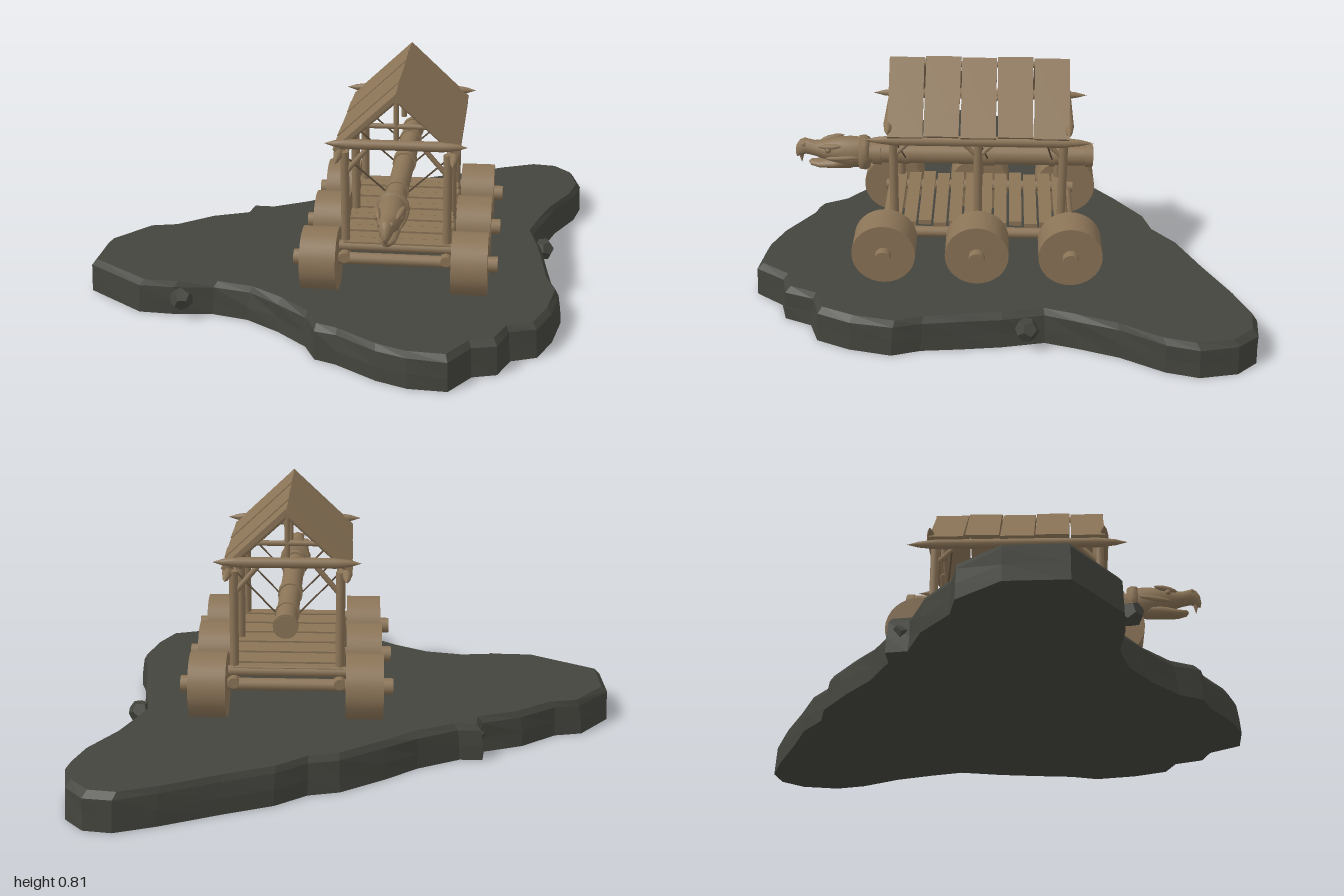
import * as THREE from 'three';

const wood = new THREE.MeshStandardMaterial({ color: 0x8b7457 });
wood.name = 'weathered wood';
const rope = new THREE.MeshStandardMaterial({ color: 0x5c4c39 });
rope.name = 'dark rope';
const rock = new THREE.MeshStandardMaterial({ color: 0x43443d });
rock.name = 'dark rock';

const V = (x, y, z) => new THREE.Vector3(x, y, z);
const UP = V(0, 1, 0);

function add(parent, name, geometry, material = wood) {
  const m = new THREE.Mesh(geometry, material);
  m.name = name;
  parent.add(m);
  return m;
}

function align(mesh, a, b) {
  mesh.position.copy(a).add(b).multiplyScalar(0.5);
  mesh.quaternion.setFromUnitVectors(UP, b.clone().sub(a).normalize());
  return mesh;
}

// Round pole between two points
function rod(parent, name, a, b, r, material = wood, sides = 12) {
  return align(add(parent, name, new THREE.CylinderGeometry(r, r, a.distanceTo(b), sides), material), a, b);
}

// Pole sharpened at both ends
function stake(parent, name, a, b, r, taper) {
  const h = a.distanceTo(b) / 2;
  const pts = [[0, -h], [r * 0.6, -h + taper * 0.4], [r, -h + taper], [r, h - taper], [r * 0.6, h - taper * 0.4], [0, h]]
    .map(p => new THREE.Vector2(...p));
  return align(add(parent, name, new THREE.LatheGeometry(pts, 10)), a, b);
}

// Skin over elliptical sections [z, centreY, halfWidth, halfHeight]
function loft(sections, n = 14) {
  const pos = [], idx = [];
  for (const [z, cy, w, h] of sections)
    for (let i = 0; i < n; i++) {
      const t = (i / n) * Math.PI * 2;
      pos.push(w * Math.cos(t), cy + h * Math.sin(t), z);
    }
  for (let k = 0; k < sections.length - 1; k++)
    for (let i = 0; i < n; i++) {
      const j = (i + 1) % n, a = k * n + i, b = k * n + j;
      idx.push(a, b, a + n, b, b + n, a + n);
    }
  const g = new THREE.BufferGeometry();
  g.setAttribute('position', new THREE.Float32BufferAttribute(pos, 3));
  g.setIndex(idx);
  g.computeVertexNormals();
  return g;
}

// Rocky ground slab
const OUTLINE = [
  -1, -.46, -.905, -.615, -.745, -.675, -.655, -.647, -.505, -.668, -.366, -.647, -.324, -.7, -.26, -.663,
  -.104, -.658, .03, -.68, .2, -.695, .297, -.668, .42, -.684, .59, -.663, .78, -.647, .91, -.625, .98, -.57,
  1, -.48, .96, -.36, .885, -.283, .75, -.2, .644, -.107, .565, -.03, .52, .107, .468, .23, .414, .348,
  .393, .444, .297, .55, .2, .62, .11, .604, .03, .663, -.05, .642, -.158, .69, -.265, .62, -.334, .535,
  -.41, .39, -.46, .33, -.457, .24, -.505, .107, -.57, -.016, -.666, -.107, -.79, -.165, -.89, -.23];

function buildRock() {
  const g = new THREE.Group();
  g.name = 'rockBase';
  let seed = 7;
  const rnd = () => (seed = (seed * 16807) % 2147483647) / 2147483647;
  const pts = [];
  for (let i = 0; i < OUTLINE.length; i += 2) pts.push([OUTLINE[i], OUTLINE[i + 1]]);
  const ring = (y, inset, jitter) => pts.map(([x, z]) => {
    const d = Math.hypot(x, z + 0.2), k = 1 - (inset + jitter * rnd()) / d;
    return [x * k, y, (z + 0.2) * k - 0.2];
  });
  const rings = [ring(0, 0, 0), ring(0.05, 0, 0.008), ring(0.1, 0.004, 0.01), ring(0.12, 0.026, 0)];
  const pos = [];
  for (let k = 0; k < rings.length - 1; k++)
    pts.forEach((_, i) => {
      const j = (i + 1) % pts.length, lo = rings[k], hi = rings[k + 1];
      pos.push(...lo[i], ...hi[i], ...hi[j], ...lo[i], ...hi[j], ...lo[j]);
    });
  const walls = new THREE.BufferGeometry();
  walls.setAttribute('position', new THREE.Float32BufferAttribute(pos, 3));
  walls.computeVertexNormals();
  add(g, 'rockSides', walls, rock);
  const cap = (r, s) => new THREE.ShapeGeometry(
    new THREE.Shape(r.map(p => new THREE.Vector2(p[0], s * p[2])))).rotateX(s * Math.PI / 2);
  add(g, 'rockTop', cap(rings[3], -1), rock).position.y = 0.12;
  add(g, 'rockUnderside', cap(rings[0], 1), rock);
  // Broken chips on the rim
  for (const [x, z, s] of [[-.765, -.13, .04], [.56, .035, .04], [-.325, -.65, .035]]) {
    const chip = add(g, 'rockChip', new THREE.DodecahedronGeometry(s), rock);
    chip.position.set(x, 0.07, z);
    chip.rotation.set(x, z * 5, s);
  }
  return g;
}

function buildWheels(cart) {
  for (const z of [-0.31, 0, 0.31]) {
    rod(cart, 'axle', V(-0.25, 0.23, z), V(0.25, 0.23, z), 0.02);
    for (const s of [-1, 1]) {
      rod(cart, 'wheel', V(s * 0.19, 0.228, z), V(s * 0.31, 0.228, z), 0.106, wood, 32);
      rod(cart, 'wheelHub', V(s * 0.3, 0.228, z), V(s * 0.342, 0.228, z), 0.027, wood, 14);
    }
  }
}

function buildFrame(cart) {
  // Deck and its bearers
  for (let i = 0; i < 12; i++) {
    const p = add(cart, 'deckPlank', new THREE.BoxGeometry(0.36, 0.016, 0.043));
    p.position.set((i % 3 - 1) * 0.004, 0.275 + (i % 2) * 0.003, (i - 5.5) * 0.051);
  }
  for (const z of [-0.29, 0.29]) rod(cart, 'deckCrossBeam', V(-0.19, 0.268, z), V(0.19, 0.268, z), 0.018);
  for (const s of [-1, 1]) {
    const x = s * 0.17;
    rod(cart, 'deckSideBeam', V(x, 0.24, -0.335), V(x, 0.24, 0.335), 0.018);
    stake(cart, 'eaveBeam', V(s * 0.19, 0.592, -0.375), V(s * 0.19, 0.592, 0.375), 0.017, 0.1);
    // Posts with their diagonal braces
    for (const z of [-0.28, 0, 0.28]) {
      rod(cart, 'post', V(x, 0.22, z), V(x, 0.6, z), 0.0145);
      for (const d of [-1, 1]) {
        if (z * d > 0) continue;
        rod(cart, 'sideBrace', V(x, 0.525, z), V(x, 0.59, z + d * 0.065), 0.008, wood, 8);
      }
      if (z) rod(cart, 'crossBrace', V(x, 0.525, z), V(x - s * 0.08, 0.62, z), 0.009, wood, 8);
    }
  }
}

function buildRoof(cart) {
  const w = 0.208, low = 0.612, high = 0.808, slope = Math.atan2(high - low, w);
  for (const z of [-0.295, 0.295]) stake(cart, 'tieBeam', V(-0.235, 0.633, z), V(0.235, 0.633, z), 0.017, 0.08);
  for (const z of [-0.27, 0, 0.27]) {
    for (const s of [-1, 1]) rod(cart, 'rafter', V(s * 0.19, 0.61, z), V(0, 0.785, z), 0.011, wood, 8);
    rod(cart, 'kingPost', V(0, 0.63, z), V(0, 0.785, z), 0.009, wood, 8);
    rod(cart, 'collarTie', V(-0.1, 0.69, z), V(0.1, 0.69, z), 0.009, wood, 8);
  }
  rod(cart, 'ridgePole', V(0, 0.785, -0.29), V(0, 0.785, 0.29), 0.011, wood, 8);
  for (const s of [-1, 1])
    for (let i = 0; i < 5; i++) {
      const p = add(cart, 'roofPlank', new THREE.BoxGeometry(Math.hypot(w, high - low), 0.012, 0.115));
      p.position.set(s * (w / 2 - 0.004), (low + high) / 2 - 0.004 + (i % 2) * 0.004, (i - 2) * 0.12);
      p.rotation.set(0, ((i * 2) % 3 - 1) * 0.012, -s * slope);
    }
}

function buildRam(cart) {
  const y = 0.452;
  rod(cart, 'ramLog', V(0, y, -0.39), V(0, y, 0.42), 0.036, wood, 20);
  for (const [z, len, r] of [[-0.375, 0.025, 0.04], [-0.25, 0.02, 0.04], [-0.03, 0.05, 0.041], [0.25, 0.02, 0.04], [0.35, 0.03, 0.042]])
    rod(cart, 'ramBand', V(0, y, z - len / 2), V(0, y, z + len / 2), r, wood, 20);
  // Slings from the eaves
  for (const z of [-0.25, -0.03, 0.25])
    for (const s of [-1, 1])
      rod(cart, 'sling', V(s * 0.036, y, z), V(s * 0.18, 0.595, z + 0.03), 0.003, rope, 6);
  // Carved beast head with collar, hooked muzzle and open jaw
  const head = new THREE.Group();
  head.name = 'ramHead';
  cart.add(head);
  add(head, 'collar', loft([[.375, y, 0, 0], [.375, y, .05, .054], [.39, y, .056, .063], [.41, y, .054, .06], [.415, y, 0, 0]]));
  add(head, 'skull', loft([[.4, .453, .046, .054], [.44, .453, .05, .057], [.49, .46, .046, .046], [.53, .461, .037, .034],
    [.565, .466, .029, .027], [.595, .473, .026, .028], [.615, .467, .02, .03], [.628, .455, .011, .022], [.632, .45, 0, 0]]));
  add(head, 'lowerJaw', loft([[.43, .425, 0, 0], [.44, .425, .036, .03], [.5, .414, .033, .02], [.55, .409, .026, .014], [.58, .412, .015, .01], [.588, .414, 0, 0]]));
  const fang = add(head, 'hookedBeak', new THREE.ConeGeometry(0.013, 0.045, 8));
  fang.position.set(0, 0.432, 0.612);
  fang.rotation.x = Math.PI;
  for (const s of [-1, 1]) {
    const eye = add(head, 'eye', new THREE.SphereGeometry(0.011, 10, 8));
    eye.position.set(s * 0.037, 0.475, 0.515);
    stake(head, 'brow', V(s * 0.046, 0.495, 0.465), V(s * 0.028, 0.482, 0.55), 0.01, 0.03);
    stake(head, 'cheekRidge', V(s * 0.05, 0.455, 0.41), V(s * 0.036, 0.442, 0.53), 0.009, 0.04);
    const nostril = add(head, 'nostril', new THREE.SphereGeometry(0.009, 8, 6));
    nostril.position.set(s * 0.017, 0.487, 0.6);
  }
}

export function createModel() {
  const model = new THREE.Group();
  model.name = 'coveredRamOnRock';
  model.add(buildRock());
  const cart = new THREE.Group();
  cart.name = 'ramCart';
  cart.position.set(0.0425, 0, -0.07);
  cart.rotation.y = -Math.PI / 6;
  model.add(cart);
  buildWheels(cart);
  buildFrame(cart);
  buildRoof(cart);
  buildRam(cart);
  return model;
}
